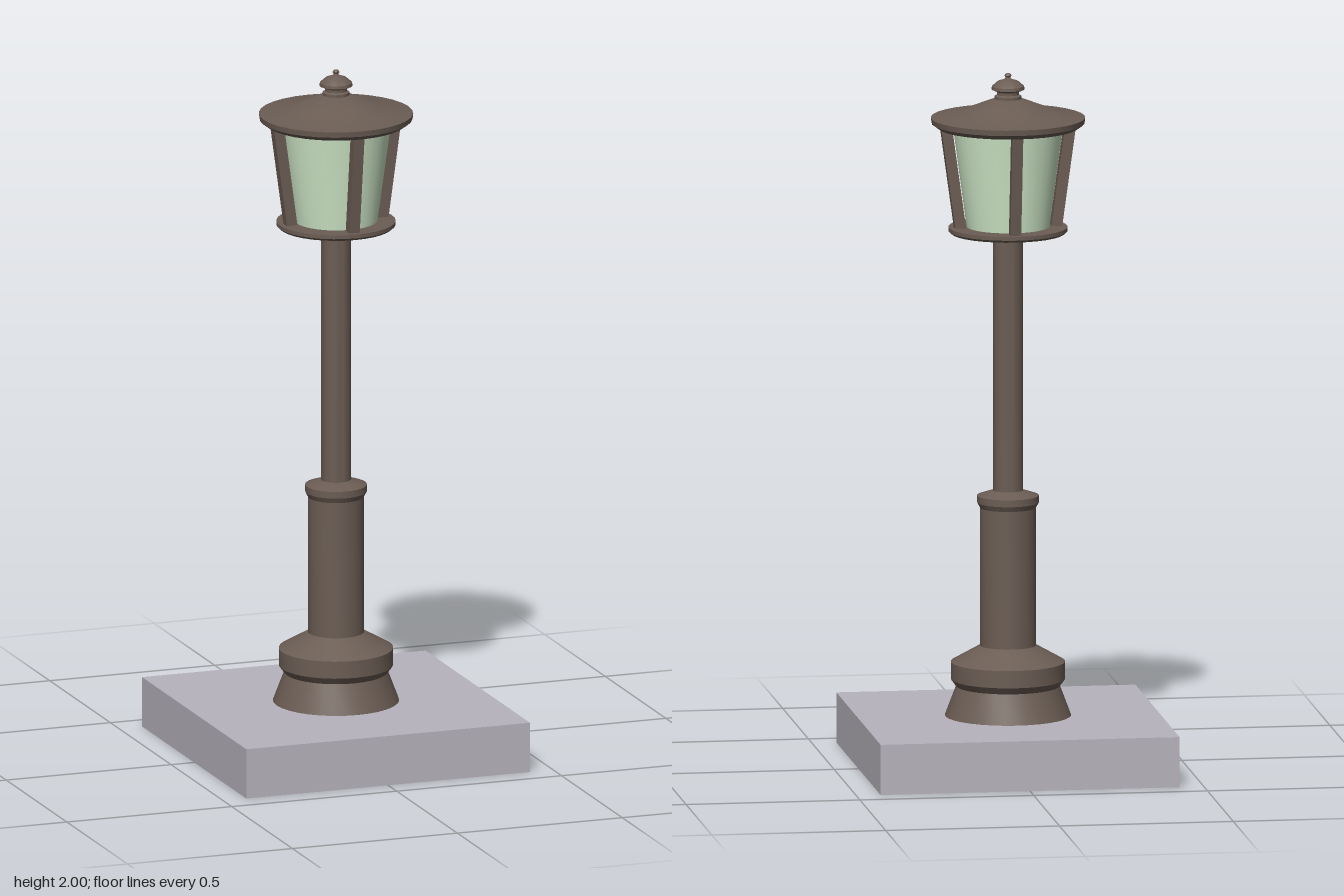
import * as THREE from 'three';
import { toCreasedNormals } from 'three/addons/utils/BufferGeometryUtils.js';

const iron = new THREE.MeshStandardMaterial({ color: 0x6b5d54 });
const stone = new THREE.MeshStandardMaterial({ color: 0xb8b3bd });
const glass = new THREE.MeshStandardMaterial({ color: 0xcfe8c8 });

// Turned part from [radius, height] pairs, listed bottom to top
function turned(name, profile, material) {
  const points = profile.map(([r, y]) => new THREE.Vector2(r, y));
  const geometry = toCreasedNormals(new THREE.LatheGeometry(points, 32), 0.4);
  const mesh = new THREE.Mesh(geometry, material);
  mesh.name = name;
  return mesh;
}

export function createModel() {
  const model = new THREE.Group();
  model.name = 'streetLamp';

  // Square stone plinth
  const plinth = new THREE.Mesh(new THREE.BoxGeometry(0.86, 0.145, 0.86), stone);
  plinth.name = 'plinth';
  plinth.position.y = 0.0725;
  model.add(plinth);

  // Flared foot, thick lower column with collar, slim shaft
  model.add(turned('column', [
    [0, 0.145], [0.18, 0.145], [0.148, 0.23], [0.163, 0.25], [0.163, 0.3],
    [0.08, 0.347], [0.08, 0.745], [0.088, 0.76], [0.088, 0.78],
    [0.043, 0.795], [0.043, 1.535],
  ], iron));

  // Lantern floor with a small collar underneath
  model.add(turned('lanternFloor', [
    [0, 1.522], [0.048, 1.522], [0.05, 1.536], [0.162, 1.538],
    [0.17, 1.545], [0.17, 1.556], [0, 1.56],
  ], iron));

  // Tapered glass shade
  model.add(turned('glassShade', [[0.118, 1.555], [0.157, 1.845]], glass));

  // Four leaning bars around the glass
  const bars = new THREE.Group();
  bars.name = 'lanternBars';
  const lean = Math.atan2(0.04, 0.29);
  for (let i = 0; i < 4; i++) {
    const arm = new THREE.Group();
    arm.name = 'barArm';
    arm.rotation.y = i * Math.PI / 2;
    const bar = new THREE.Mesh(new THREE.BoxGeometry(0.031, 0.298, 0.031), iron);
    bar.name = 'lanternBar';
    bar.position.set(0, 1.7, 0.158);
    bar.rotation.x = lean;
    arm.add(bar);
    bars.add(arm);
  }
  model.add(bars);

  // Shallow conical roof with a rim
  model.add(turned('roof', [
    [0, 1.843], [0.2, 1.843], [0.218, 1.856], [0.22, 1.872],
    [0.19, 1.876], [0.12, 1.895], [0.04, 1.926], [0, 1.926],
  ], iron));

  // Finial
  model.add(turned('finial', [
    [0.038, 1.922], [0.038, 1.934], [0.031, 1.938], [0.031, 1.946],
    [0.047, 1.953], [0.046, 1.962], [0.03, 1.976], [0.008, 1.984],
    [0.007, 1.988], [0.01, 1.993], [0.007, 1.998], [0, 2],
  ], iron));

  return model;
}
